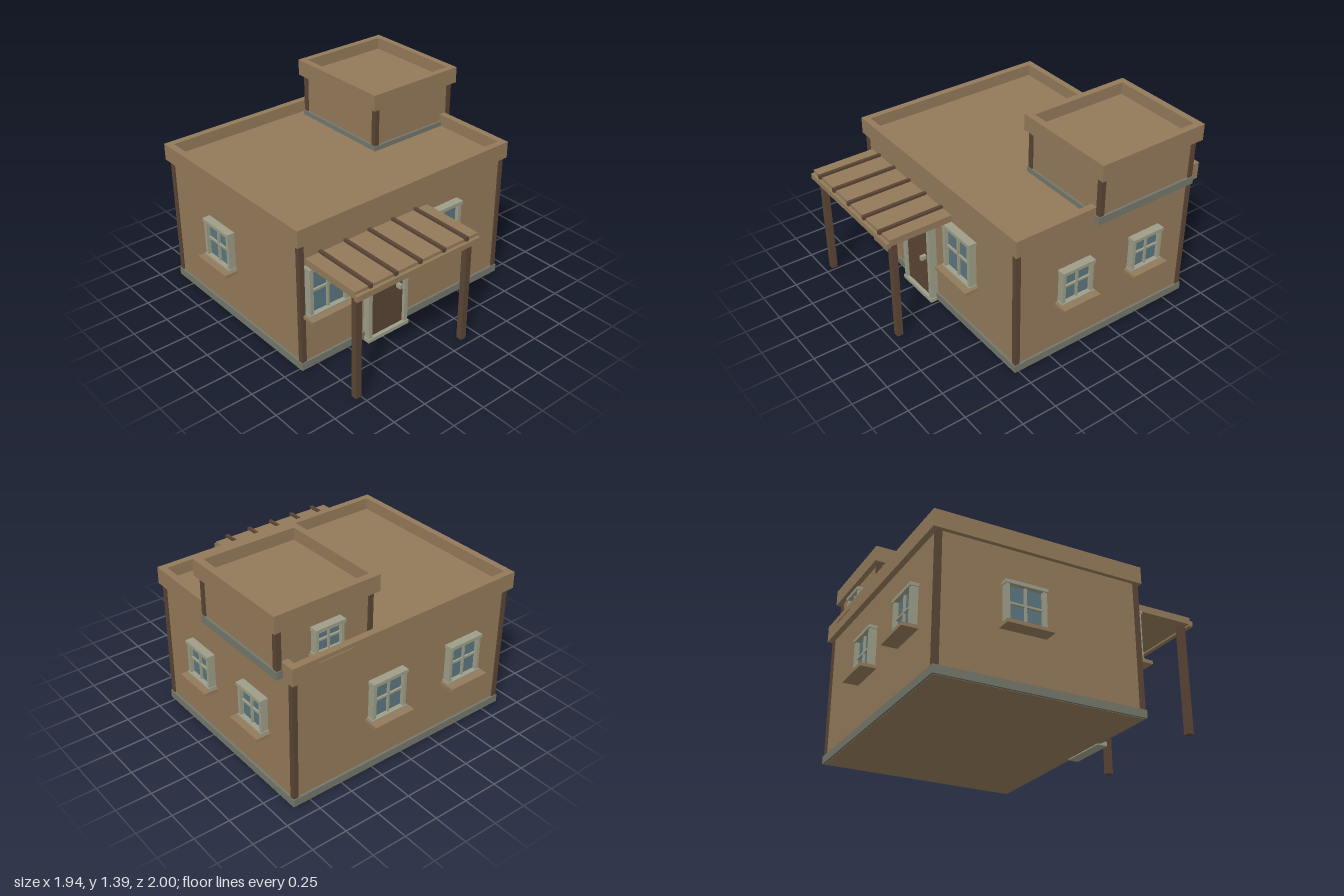
import * as THREE from 'three';

const mat = (name, color) => {
  const m = new THREE.MeshStandardMaterial({ color });
  m.name = name;
  return m;
};

export function createModel() {
  const adobe = mat('adobe', 0x937a5a);
  const timber = mat('dark timber', 0x5a4534);
  const stone = mat('grey stone', 0x74776a);
  const trim = mat('pale trim', 0x9d9d88);
  const glass = mat('window glass', 0x5b767e);

  const model = new THREE.Group();
  model.name = 'house';

  // Box given by its extents on each axis
  const box = (parent, name, material, x0, x1, y0, y1, z0, z1) => {
    const mesh = new THREE.Mesh(new THREE.BoxGeometry(x1 - x0, y1 - y0, z1 - z0), material);
    mesh.position.set((x0 + x1) / 2, (y0 + y1) / 2, (z0 + z1) / 2);
    mesh.name = name;
    parent.add(mesh);
    return mesh;
  };

  const group = (name) => {
    const g = new THREE.Group();
    g.name = name;
    model.add(g);
    return g;
  };

  // Rectangular parapet ring around a sunken roof
  const parapet = (parent, x0, x1, z0, z1, y0, y1, t, floorY) => {
    const shape = new THREE.Shape([[x0, -z0], [x1, -z0], [x1, -z1], [x0, -z1]].map((p) => new THREE.Vector2(...p)));
    const a = x0 + t, b = x1 - t, c = z0 + t, d = z1 - t;
    shape.holes.push(new THREE.Path([[a, -c], [a, -d], [b, -d], [b, -c]].map((p) => new THREE.Vector2(...p))));
    const geo = new THREE.ExtrudeGeometry(shape, { depth: y1 - y0, bevelEnabled: false });
    geo.rotateX(-Math.PI / 2);
    const ring = new THREE.Mesh(geo, adobe);
    ring.position.y = y0;
    ring.name = 'parapet';
    parent.add(ring);
    box(parent, 'roofDeck', adobe, a, b, y0 + 0.002, floorY, c, d);
  };

  // Storey: walls, stone footing and four corner posts
  const storey = (parent, x0, x1, z0, z1, yBase, yWall, yTop) => {
    const e = 0.01, p = 0.036;
    box(parent, 'walls', adobe, x0 + e, x1 - e, yBase - 0.002, yTop + 0.01, z0 + e, z1 - e);
    box(parent, 'footing', stone, x0 - 0.006, x1 + 0.006, yBase, yWall, z0 - 0.006, z1 + 0.006);
    for (const x of [x0, x1 - p]) {
      for (const z of [z0, z1 - p]) box(parent, 'cornerPost', timber, x, x + p, yWall, yTop + 0.005, z, z + p);
    }
  };

  const main = group('mainStorey');
  storey(main, -0.88, 0.875, -0.9, 0.53, 0.01, 0.065, 0.935);
  parapet(main, -0.9, 0.895, -0.93, 0.545, 0.935, 1.055, 0.048, 0.97);

  const tower = group('upperRoom');
  storey(tower, 0.225, 0.935, -0.835, -0.055, 0.95, 1.005, 1.28);
  parapet(tower, 0.2, 0.963, -0.862, -0.035, 1.28, 1.395, 0.048, 1.31);

  // Window facing +z locally, with z = 0 on the wall and y = 0 at the frame foot
  const addWindow = (name, w, h, x, y, z, turn, sillH = 0.024, sillOut = 0.1) => {
    const g = group(name);
    const j = w * 0.085, half = w / 2, bar = w * 0.025;
    box(g, 'glass', glass, -half + j / 2, half - j / 2, j / 2, h - j / 2, -0.01, 0.02);
    for (const s of [-1, 1]) {
      const cx = s * (half - 0.006 - j / 2);
      box(g, 'jamb', trim, cx - j / 2, cx + j / 2, 0, h - 0.01, -0.01, 0.048);
    }
    box(g, 'head', trim, -half, half, h - 0.024, h, -0.01, 0.055);
    box(g, 'bottomRail', trim, -half, half, 0, 0.014, -0.01, 0.055);
    box(g, 'uprightBar', trim, -bar, bar, 0, h - 0.01, 0, 0.035);
    box(g, 'crossBar', trim, -half + j, half - j, h / 2 - bar, h / 2 + bar, 0, 0.034);
    box(g, 'sill', adobe, -half - 0.016, half + 0.016, -sillH, 0, -0.01, sillOut);
    g.position.set(x, y, z);
    g.rotation.y = turn;
  };

  const q = Math.PI / 2;
  for (const x of [-0.685, 0.292]) addWindow('frontWindow', 0.316, 0.35, x, 0.425, 0.525, 0);
  for (const z of [0.07, -0.51]) addWindow('leftWindow', 0.258, 0.255, 0.868, 0.42, z, q);
  addWindow('rightWindow', 0.29, 0.285, -0.873, 0.41, -0.32, -q);
  for (const x of [-0.49, 0.155]) addWindow('backWindow', 0.28, 0.285, x, 0.407, -0.893, 2 * q, 0.024, 0.107);
  addWindow('upperWindow', 0.218, 0.18, 0.58, 1.025, -0.828, 2 * q, 0.02, 0.108);

  // Door with frame, threshold and handle
  const door = group('door');
  box(door, 'doorPanel', timber, -0.34, -0.06, 0.02, 0.66, 0.51, 0.558);
  for (const [x0, x1] of [[-0.368, -0.338], [-0.058, -0.028]]) {
    box(door, 'doorJamb', trim, x0, x1, 0.01, 0.66, 0.51, 0.578);
  }
  box(door, 'doorHead', trim, -0.373, -0.023, 0.65, 0.676, 0.51, 0.585);
  box(door, 'threshold', trim, -0.375, -0.021, 0, 0.028, 0.51, 0.585);
  box(door, 'handle', trim, -0.12, -0.096, 0.324, 0.356, 0.55, 0.6);

  // Porch canopy with battens on two posts
  const porch = group('porch');
  box(porch, 'canopy', adobe, -0.827, 0.173, 0.777, 0.826, 0.52, 0.978);
  box(porch, 'frontBeam', adobe, -0.827, 0.173, 0.765, 0.804, 0.97, 1);
  for (let i = 0; i < 5; i++) {
    const x = -0.716 + i * 0.195;
    box(porch, 'batten', timber, x - 0.011, x + 0.011, 0.815, 0.844, 0.52, 0.996);
  }
  for (const x of [-0.777, 0.127]) box(porch, 'porchPost', timber, x - 0.022, x + 0.022, 0.01, 0.78, 0.914, 0.957);

  return model;
}
